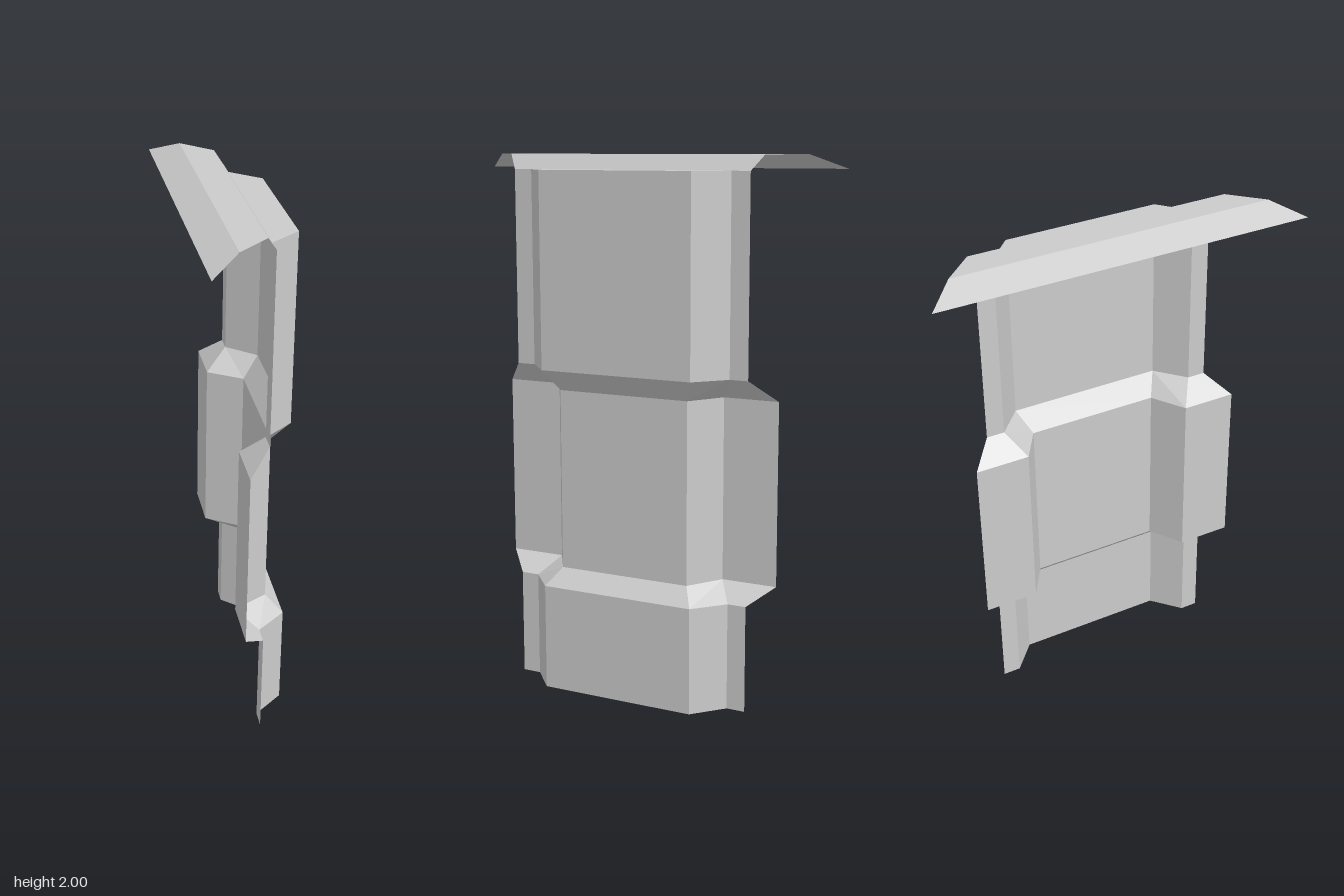
import * as THREE from 'three';

const material = new THREE.MeshStandardMaterial({
  color: 0xcccccc, flatShading: true, side: THREE.DoubleSide,
});

// Mirror a half outline of [x, z] points across the diagonal plane x = z
const mirrored = (half) => [...half, ...half.map(([x, z]) => [z, x]).reverse()];

// Flat-shaded sheet stretched between successive rows of [x, y, z] points
function sheet(name, rows) {
  const pos = [];
  for (let r = 0; r < rows.length - 1; r++) {
    for (let i = 0; i < rows[r].length - 1; i++) {
      const a = rows[r][i], b = rows[r][i + 1];
      const c = rows[r + 1][i + 1], d = rows[r + 1][i];
      pos.push(...a, ...b, ...c, ...a, ...c, ...d);
    }
  }
  const geometry = new THREE.BufferGeometry();
  geometry.setAttribute('position', new THREE.Float32BufferAttribute(pos, 3));
  geometry.computeVertexNormals();
  const mesh = new THREE.Mesh(geometry, material);
  mesh.name = name;
  return mesh;
}

export function createModel() {
  const group = new THREE.Group();
  group.name = 'wallPanel';

  // Outlines: flange end, flange inner corner, raised panel corner
  const proud = mirrored([[-0.15, 0.517], [-0.1, 0.467], [0.05, 0.476]]);
  const recessed = mirrored([[-0.268, 0.517], [-0.118, 0.367], [0.035, 0.402]]);
  const at = (outline, y) => outline.map(([x, z]) => [x, y, z]);

  // Vertical sections joined by sloping bands
  const top = 1.945;
  const sections = [
    ['lowerPanel', proud, 0, proud, 0.4],
    ['lowerBand', proud, 0.4, recessed, 0.463],
    ['middlePanel', recessed, 0.463, recessed, 1.143],
    ['upperBand', recessed, 1.143, proud, 1.223],
    ['upperPanel', proud, 1.223, proud, top],
  ];
  for (const [name, from, y0, to, y1] of sections) {
    group.add(sheet(name, [at(from, y0), at(to, y1)]));
  }

  // Ledge closing the top of the raised panel
  const [, b, c, c2, b2] = at(proud, top);
  group.add(sheet('topLedge', [[b, b2], [c, c2]]));

  // Folded coping, each fold running between the two mitred ends
  const end = 0.517;
  const folds = [[-0.15, top], [-0.203, 2], [-0.367, 2], [-end, 1.95]];
  group.add(sheet('coping', folds.map(([x, y]) => [[x, y, end], [end, y, x]])));

  return group;
}
